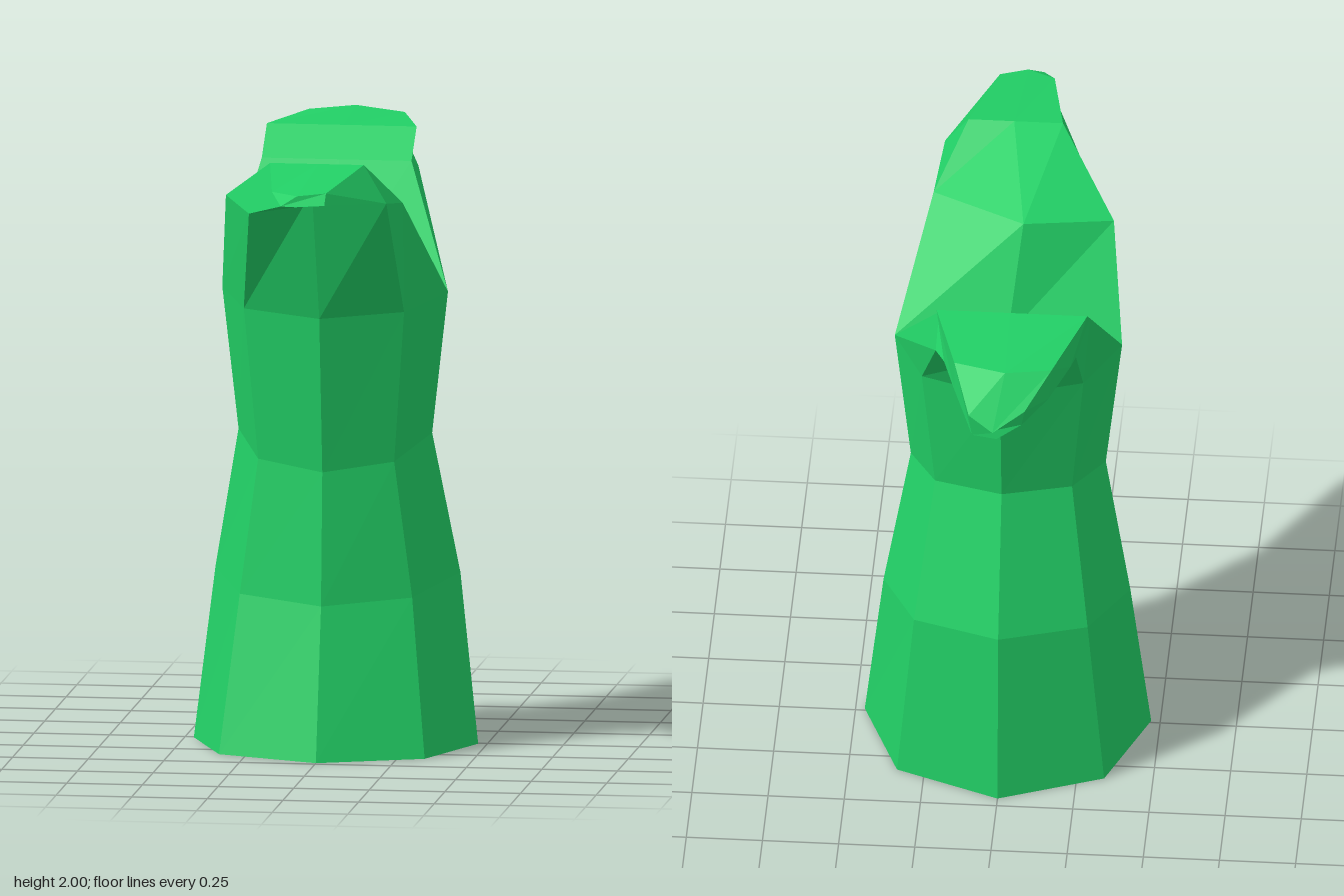
import * as THREE from 'three';

const leafGreen = new THREE.MeshStandardMaterial({ color: 0x22d066, flatShading: true });
leafGreen.name = 'leaf green';

// Joins a list of rings (equal counts, counter-clockwise seen from the growing end).
function loft(name, rings, { capStart = false, capEnd = false } = {}) {
  const pos = [];
  const v = (p) => new THREE.Vector3(...p);
  const tri = (a, b, c) => {
    const area = v(b).sub(v(a)).cross(v(c).sub(v(a))).length();
    if (area > 1e-6) pos.push(...a, ...b, ...c);
  };
  const n = rings[0].length;
  for (let r = 0; r < rings.length - 1; r++) {
    for (let i = 0; i < n; i++) {
      const j = (i + 1) % n;
      const a = rings[r][i], b = rings[r][j], c = rings[r + 1][j], d = rings[r + 1][i];
      tri(a, b, c);
      tri(a, c, d);
    }
  }
  const first = rings[0], last = rings[rings.length - 1];
  for (let i = 1; i < n - 1; i++) {
    if (capStart) tri(first[0], first[i + 1], first[i]);
    if (capEnd) tri(last[0], last[i], last[i + 1]);
  }
  const g = new THREE.BufferGeometry();
  g.setAttribute('position', new THREE.Float32BufferAttribute(pos, 3));
  g.computeVertexNormals();
  const mesh = new THREE.Mesh(g, leafGreen);
  mesh.name = name;
  return mesh;
}

// Eight-sided stem ring, tilted between its front and back heights.
function stemRing(rx, diagX, zFront, zBack, yFront, ySide, yBack) {
  const zMid = (zFront + zBack) / 2, half = (zFront - zBack) / 2;
  const ring = [];
  for (let i = 0; i < 8; i++) {
    const a = (i * Math.PI) / 4, c = Math.cos(a);
    const x = i % 2 ? Math.sign(Math.sin(a)) * diagX : Math.round(Math.sin(a)) * rx;
    const y = ySide + (c > 0 ? (yFront - ySide) * c : (ySide - yBack) * c);
    ring.push([x, y, zMid + half * c]);
  }
  return ring;
}

export function createModel() {
  const group = new THREE.Group();
  group.name = 'plant';

  // Stem
  const top = stemRing(0.373, 0.265, 0.40, -0.34, 1.46, 1.50, 1.54);
  group.add(loft('stem', [
    stemRing(0.47, 0.34, 0.48, -0.46, 0, 0, 0),
    stemRing(0.405, 0.285, 0.36, -0.43, 0.5, 0.56, 0.62),
    stemRing(0.32, 0.225, 0.33, -0.28, 0.94, 1.03, 1.10),
    top,
  ], { capStart: true }));

  // Both leaves start from the same crease across the stem top
  const crease = [0, 1.54, 0.0];

  // Front leaf: three underside points, then three upper points per ring
  const under = [[-0.21, 1.83, 0.56], [0, 1.91, 0.57], [0.25, 1.88, 0.60]];
  group.add(loft('frontLeaf', [
    [top[7], top[0], top[1], top[2], crease, top[6]],
    [...under, [0.27, 1.845, 0.36], [-0.04, 1.88, 0.155], [-0.33, 1.84, 0.25]],
    [...under, [0.17, 2.0, 0.56], [0.02, 2.0, 0.56], [-0.14, 2.0, 0.56]],
    [[-0.05, 1.92, 0.95], [0, 1.92, 0.96], [0.09, 1.92, 0.92],
      [0.09, 1.955, 0.88], [0, 1.95, 0.92], [-0.09, 1.955, 0.87]],
  ], { capEnd: true }));

  // Back leaf
  group.add(loft('backLeaf', [
    [top[3], top[4], top[5], top[6], crease, top[2]],
    [[0.2, 1.83, -0.50], [-0.02, 1.79, -0.47], [-0.26, 1.82, -0.49],
      [-0.295, 1.87, -0.34], [-0.04, 1.87, -0.34], [0.2, 1.87, -0.34]],
    [[0.165, 1.86, -0.60], [-0.04, 1.86, -0.60], [-0.25, 1.86, -0.60],
      [-0.295, 1.965, -0.46], [-0.04, 1.965, -0.46], [0.2, 1.965, -0.46]],
    [[0.12, 1.855, -0.75], [-0.04, 1.83, -0.75], [-0.19, 1.85, -0.77],
      [-0.2, 1.965, -0.77], [-0.05, 1.975, -0.81], [0.12, 1.965, -0.75]],
    [[0.05, 1.80, -0.92], [-0.03, 1.78, -0.91], [-0.11, 1.82, -0.88],
      [-0.12, 1.88, -0.89], [-0.02, 1.84, -0.96], [0.06, 1.885, -0.93]],
  ], { capEnd: true }));

  return group;
}
